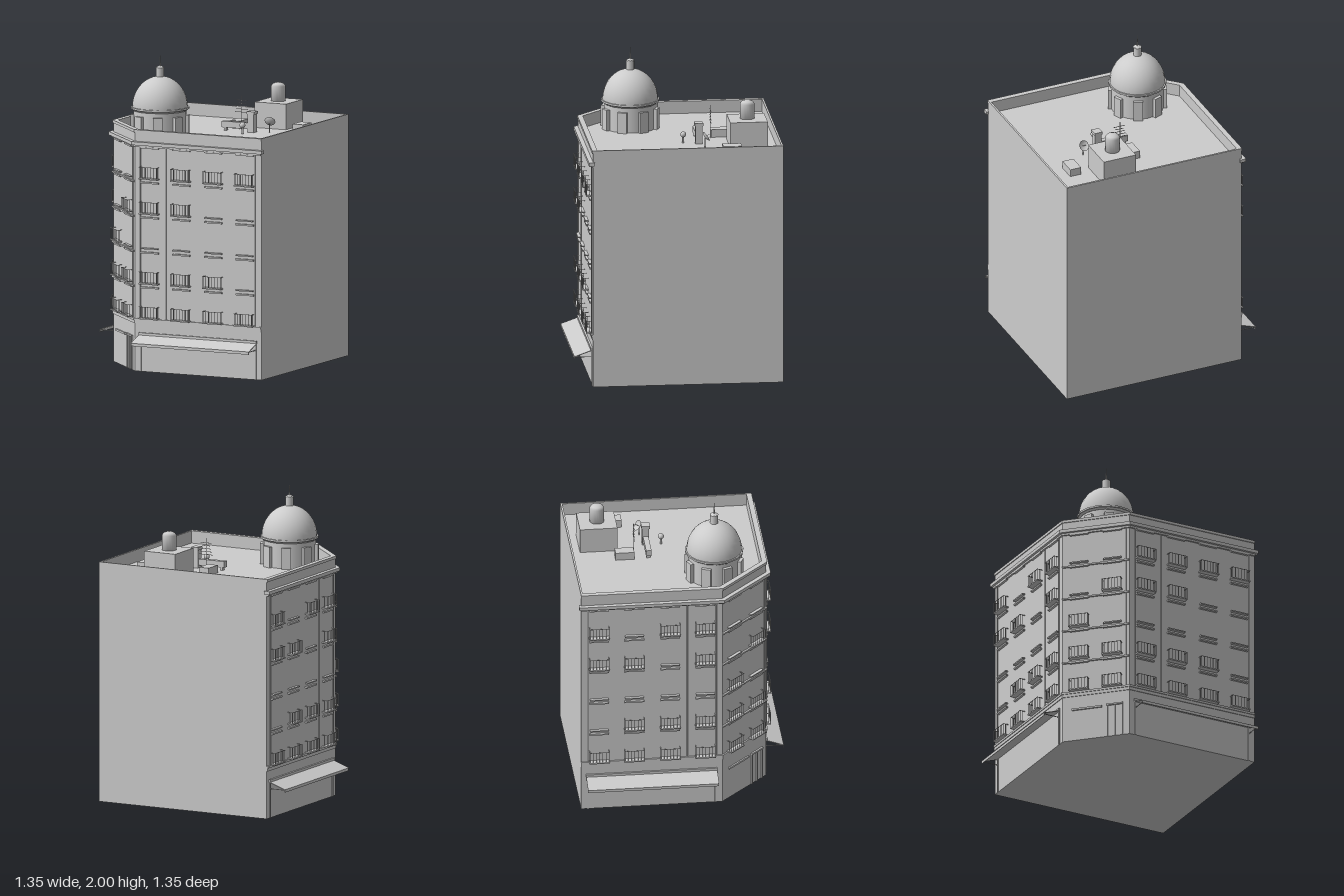
import * as THREE from 'three';

const stone = new THREE.MeshStandardMaterial({ color: 0xcccccc, side: THREE.DoubleSide });
stone.name = 'pale grey stone';

function add(parent, name, geo, x = 0, y = 0, z = 0) {
  const m = new THREE.Mesh(geo, stone);
  m.name = name;
  m.position.set(x, y, z);
  parent.add(m);
  return m;
}
const box = (p, name, w, h, d, x, y, z) => add(p, name, new THREE.BoxGeometry(w, h, d), x, y, z);
const cyl = (p, name, r0, r1, h, x, y, z, n = 16) => add(p, name, new THREE.CylinderGeometry(r0, r1, h, n), x, y, z);

// Street side of the plan, pushed outward by d and lengthened by e at both ends
function street(d, e = 0) {
  return [[-0.56 - d, -0.66 - e], [-0.56 - d, 0.245 + 0.414 * d],
    [-0.245 - 0.414 * d, 0.56 + d], [0.66 + e, 0.56 + d]];
}
const toV2 = (pts) => pts.map(([x, z]) => new THREE.Vector2(x, -z));

// Extrude a plan outline upward from y0 to y1
function slab(parent, name, pts, y0, y1, hole) {
  const shape = new THREE.Shape(toV2(pts));
  if (hole) shape.holes.push(new THREE.Path(toV2(hole)));
  const geo = new THREE.ExtrudeGeometry(shape, { depth: y1 - y0, bevelEnabled: false });
  geo.rotateX(-Math.PI / 2);
  return add(parent, name, geo, 0, y0, 0);
}
// Moulding that follows the three street walls
const band = (p, name, d, y0, y1, e = 0) =>
  slab(p, name, [...street(d, e), ...street(-0.012, e).reverse()], y0, y1);

// Balcony with slab, handrail and bars; local z points out of the wall
function balcony(parent, x, y, railed) {
  const g = new THREE.Group();
  g.name = railed ? 'balcony' : 'windowSill';
  g.position.set(x, y, 0);
  parent.add(g);
  if (!railed) {
    box(g, 'sill', 0.12, 0.008, 0.02, 0, 0, 0.01);
    return;
  }
  const w = 0.13, d = 0.038, h = 0.075, t = 0.003;
  box(g, 'balconyFloor', w, 0.008, d, 0, 0, d / 2);
  box(g, 'handrail', w, t, t, 0, h, d - t);
  for (let i = 0; i <= 6; i++) box(g, 'railBar', t, h, t, -w / 2 + t + i * (w - 2 * t) / 6, h / 2, d - t);
  for (const s of [-1, 1]) {
    box(g, 'sideRail', t, t, d, s * (w / 2 - t), h, d / 2);
    box(g, 'sideBar', t, h, t, s * (w / 2 - t), h / 2, d / 2);
  }
}

const floors = [0.345, 0.57, 0.795, 1.02, 1.245];

// One street wall; rails lists, per floor, which bays have a railing
function facade(parent, name, x, z, turn, bays, rails) {
  const g = new THREE.Group();
  g.name = name;
  g.position.set(x, 0, z);
  g.rotation.y = turn;
  parent.add(g);
  floors.forEach((y, f) => bays.forEach((bx, i) => {
    balcony(g, bx, y, rails[f][i] === '1');
    box(g, 'windowHood', 0.125, 0.01, 0.016, bx, y + 0.198, 0.008);
  }));
  return g;
}

// Sloping shop awning with valance, arms and a fascia above
function awning(g, x0, x1) {
  const w = x1 - x0, cx = (x0 + x1) / 2;
  const cloth = box(g, 'awning', w, 0.004, 0.123, cx, 0.214, 0.058);
  cloth.rotation.x = 0.34;
  box(g, 'awningValance', w, 0.018, 0.003, cx, 0.186, 0.114);
  box(g, 'shopFascia', w, 0.016, 0.012, cx, 0.243, 0.006);
  for (const x of [x0 + 0.01, x1 - 0.01]) {
    box(g, 'awningArm', 0.004, 0.004, 0.112, x, 0.19, 0.056);
    box(g, 'shopPost', 0.012, 0.24, 0.006, x, 0.12, 0.003);
  }
}
const pipe = (g, x) => cyl(g, 'drainPipe', 0.004, 0.004, 1.11, x, 0.9, 0.005, 8);

function addRoofItems(parent) {
  const g = new THREE.Group();
  g.name = 'roofEquipment';
  parent.add(g);
  const deck = 1.475;
  const onDeck = (name, x0, x1, z0, z1, top, base = deck) =>
    box(g, name, x1 - x0, top - base, z1 - z0, (x0 + x1) / 2, (top + base) / 2, (z0 + z1) / 2);
  onDeck('stairHouse', 0.145, 0.37, -0.59, -0.35, 1.64);
  const tank = [[0, 1.64], [0.047, 1.64], [0.047, 1.735], [0.036, 1.75], [0.018, 1.757], [0, 1.758]];
  add(g, 'waterTank', new THREE.LatheGeometry(tank.map((p) => new THREE.Vector2(...p)), 20), 0.255, 0, -0.47);
  onDeck('airConditioner', 0.02, 0.09, -0.375, -0.255, 1.525);
  onDeck('airConditioner', 0.447, 0.523, -0.41, -0.29, 1.525);
  onDeck('ventDuct', 0.015, 0.2, -0.18, -0.145, 1.535, 1.495);
  onDeck('ductLeg', 0.03, 0.045, -0.175, -0.15, 1.5);
  onDeck('ventStack', 0.203, 0.247, -0.185, -0.14, 1.592);
  onDeck('ventStackCap', 0.198, 0.252, -0.19, -0.135, 1.61, 1.592);
  // Round vent
  cyl(g, 'ventPipe', 0.007, 0.007, 0.05, 0.205, 1.5, -0.065, 8);
  add(g, 'ventBall', new THREE.SphereGeometry(0.019, 12, 8), 0.205, 1.53, -0.065);
  // Aerial
  cyl(g, 'aerialMast', 0.002, 0.002, 0.215, 0.103, 1.583, -0.25, 6);
  [0.1, 0.085, 0.07, 0.055, 0.08].forEach((w, i) =>
    box(g, 'aerialBar', w, 0.003, 0.003, 0.108, 1.585 + i * 0.019, -0.25));
  // Satellite dish
  cyl(g, 'dishPole', 0.003, 0.003, 0.06, 0.335, 1.505, -0.19, 6);
  const bowl = [[0, 0], [0.015, 0.002], [0.027, 0.007], [0.035, 0.014]];
  const dish = add(g, 'satelliteDish',
    new THREE.LatheGeometry(bowl.map((p) => new THREE.Vector2(...p)), 16), 0.335, 1.54, -0.19);
  dish.rotation.set(-1.0, 0, 0.2);
  const arm = cyl(dish, 'dishArm', 0.0015, 0.0015, 0.035, 0, 0.018, 0, 6);
  arm.rotation.z = 0.1;
}

function addDome(parent) {
  const g = new THREE.Group();
  g.name = 'cornerDome';
  g.position.set(-0.235, 0, 0.228);
  parent.add(g);
  cyl(g, 'drum', 0.168, 0.168, 0.175, 0, 1.5625, 0, 24);
  for (let i = 0; i < 8; i++) {
    const a = (i + 0.5) * Math.PI / 4;
    const b = box(g, 'drumPilaster', 0.06, 0.135, 0.03, Math.sin(a) * 0.172, 1.5425, Math.cos(a) * 0.172);
    b.rotation.y = a;
  }
  cyl(g, 'domeCornice', 0.187, 0.187, 0.012, 0, 1.655, 0, 16);
  cyl(g, 'domeCorniceLower', 0.182, 0.17, 0.012, 0, 1.643, 0, 16);
  const dome = add(g, 'dome', new THREE.SphereGeometry(0.177, 24, 12, 0, Math.PI * 2, 0, Math.PI / 2), 0, 1.66, 0);
  dome.scale.y = 1.11;
  cyl(g, 'lantern', 0.026, 0.026, 0.07, 0, 1.88, 0, 12);
  cyl(g, 'lanternCap', 0.01, 0.028, 0.01, 0, 1.918, 0, 12);
  cyl(g, 'spire', 0.0005, 0.006, 0.08, 0, 1.96, 0, 8);
}

export function createModel() {
  const model = new THREE.Group();
  model.name = 'cornerBuilding';

  // Walls, roof deck and parapet
  slab(model, 'walls', [...street(0), [0.66, -0.66]], 0, 1.475);
  const inner = [[-0.532, -0.648], [-0.532, 0.233], [-0.233, 0.532], [0.648, 0.532], [0.648, -0.648]];
  slab(model, 'parapet', [...street(0), [0.66, -0.66]], 1.475, 1.537, inner);
  slab(model, 'parapetCap', [...street(0.006), [0.66, -0.66]], 1.537, 1.555, inner);

  // Mouldings
  band(model, 'cornice', 0.028, 1.458, 1.48, 0.014);
  band(model, 'corniceBed', 0.012, 1.446, 1.458);
  band(model, 'groundFloorCornice', 0.01, 0.328, 0.342);
  band(model, 'groundFloorFrieze', 0.005, 0.308, 0.328);

  // Street walls
  const bays = [-0.135, 0.09, 0.32, 0.545];
  const front = facade(model, 'frontWall', 0, 0.56, 0, bays, ['1111', '1110', '0000', '1100', '1111']);
  const side = facade(model, 'rightWall', -0.56, 0, -Math.PI / 2, bays.map((b) => -b).reverse(),
    ['1111', '0111', '0000', '1101', '1011']);
  awning(front, -0.215, 0.628);
  awning(side, -0.628, 0.212);
  for (const x of [-0.205, -0.02, 0.617]) {
    pipe(front, x);
    pipe(side, -x);
  }

  // Corner wall with floor bands and entrance
  const corner = facade(model, 'cornerWall', -0.4025, 0.4025, -Math.PI / 4, [-0.11, 0.11],
    ['11', '11', '10', '01', '00']);
  for (const y of floors.slice(1)) box(corner, 'floorBand', 0.445, 0.01, 0.012, 0, y - 0.022, 0.006);
  pipe(corner, 0.2);
  for (const x of [0.075, 0.125, 0.175]) box(corner, 'doorPost', 0.008, 0.215, 0.008, x, 0.1075, 0.004);
  box(corner, 'doorHead', 0.11, 0.01, 0.012, 0.125, 0.22, 0.006);
  box(corner, 'shopSignLedge', 0.2, 0.012, 0.01, -0.06, 0.215, 0.005);

  addRoofItems(model);
  addDome(model);
  return model;
}
